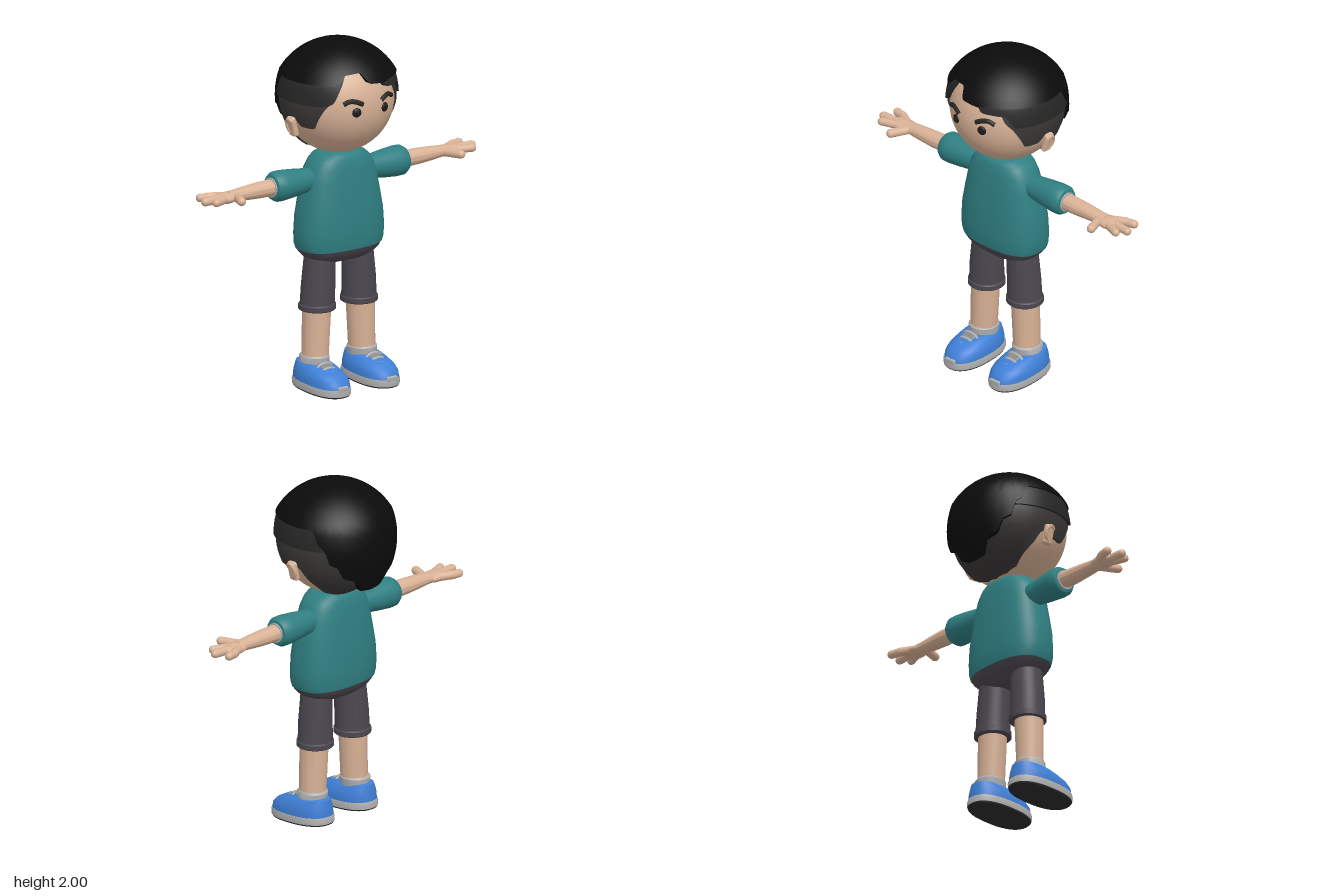
import * as THREE from 'three';
import { toCreasedNormals } from 'three/addons/utils/BufferGeometryUtils.js';
import { RoundedBoxGeometry } from 'three/addons/geometries/RoundedBoxGeometry.js';

const SKIN = 0xd9b296, TEAL = 0x2f7f82, PANTS = 0x4b474f, BLUE = 0x3f7fd6, GREY = 0xb0b0b0,
  BLACK = 0x0b0b0b, DARK = 0x272727, FADE = 0x3a3736, SOLE = 0x2b2a2d;

function add(parent, name, geometry, color, side = THREE.FrontSide) {
  const mesh = new THREE.Mesh(geometry, new THREE.MeshStandardMaterial({ color, side }));
  mesh.name = name;
  parent.add(mesh);
  return mesh;
}

// Closed-around grid: point(angle, row) with angle 0 at the front, rows running upward
function surface(point, cols, rows, crease = 0.7) {
  const pos = [], idx = [];
  for (let j = 0; j < rows; j++)
    for (let i = 0; i <= cols; i++) pos.push(...point((i / cols) * 2 * Math.PI - Math.PI, j));
  for (let j = 0; j < rows - 1; j++)
    for (let i = 0; i < cols; i++) {
      const a = j * (cols + 1) + i, d = a + cols + 1;
      idx.push(a, a + 1, d + 1, a, d + 1, d);
    }
  const g = new THREE.BufferGeometry();
  g.setAttribute('position', new THREE.Float32BufferAttribute(pos, 3));
  g.setIndex(idx);
  return toCreasedNormals(g, crease);
}

// Sections [y, rx, rz, cz, cx] joined upward and closed at both ends; power > 2 squares the outline
function loft(sections, power = 2, cols = 40) {
  const first = sections[0], last = sections[sections.length - 1];
  const rows = [[first[0], 0, 0, first[3], first[4]], ...sections, [last[0], 0, 0, last[3], last[4]]];
  const bend = v => Math.sign(v) * Math.abs(v) ** (2 / power);
  return surface((a, j) => {
    const [y, rx, rz, cz = 0, cx = 0] = rows[j];
    return [cx + rx * bend(Math.sin(a)), y, cz + rz * bend(Math.cos(a))];
  }, cols, rows.length);
}

// Rounded rod between two points
function capsule(parent, name, from, to, r, color) {
  const a = new THREE.Vector3(...from), b = new THREE.Vector3(...to), dir = b.clone().sub(a);
  const m = add(parent, name, new THREE.CapsuleGeometry(r, dir.length(), 8, 16), color);
  m.position.copy(a).add(b).multiplyScalar(0.5);
  m.quaternion.setFromUnitVectors(new THREE.Vector3(0, 1, 0), dir.normalize());
  return m;
}

function tube(points, r) {
  return new THREE.TubeGeometry(new THREE.CatmullRomCurve3(points.map(p => new THREE.Vector3(...p))), 16, r, 8);
}

// Piecewise-linear lookup in [x, y] pairs
function lookup(pairs, x) {
  if (x <= pairs[0][0]) return pairs[0][1];
  for (let i = 1; i < pairs.length; i++)
    if (x <= pairs[i][0]) {
      const [x0, y0] = pairs[i - 1], [x1, y1] = pairs[i];
      return y0 + (y1 - y0) * (x - x0) / (x1 - x0);
    }
  return pairs[pairs.length - 1][1];
}

// Hair shell: radius by height, lower edge by angle, with a lip turned in to the head
function hairShell(radius, top, edge) {
  const rows = 18;
  return surface((a, j) => {
    const low = edge(a), t = Math.max(0, j - 1) / (rows - 2);
    const y = top - (top - low) * (1 - t) ** 2;
    const r = radius(y) * (j === 0 ? 0.88 : 1);
    return [r * Math.sin(a), y, r * Math.cos(a)];
  }, 144, rows, 0.8);
}

function buildHead(group) {
  const head = add(group, 'head', new THREE.SphereGeometry(0.318, 48, 32), SKIN);
  head.position.y = 1.666;

  // Hair in three overlapping layers
  const capR = y => y > 1.81 ? Math.sqrt(Math.max(0, 0.38 ** 2 - (y - 1.62) ** 2)) : 0.35 - 1.1 * (y - 1.67) ** 2;
  const nape = [[1.98, 1.81], [2.08, 1.73], [2.2, 1.7], [2.27, 1.62], [2.4, 1.6], [2.5, 1.53],
    [2.75, 1.5], [2.85, 1.43], [3.15, 1.42]];
  const fringe = [[-0.68, 1.81], [-0.58, 1.86], [-0.2, 1.87], [-0.08, 1.81], [0.25, 1.8], [0.4, 1.81]];
  add(group, 'topHair', hairShell(capR, 2, a => Math.abs(a) > 1.9 ? lookup(nape, Math.abs(a)) : lookup(fringe, a)),
    BLACK, THREE.DoubleSide);

  const band = [[-0.9, 1.69], [-0.72, 1.71], [-0.62, 1.78], [-0.5, 1.87], [0.16, 1.87], [0.22, 1.81],
    [0.32, 1.77], [0.75, 1.76], [0.9, 1.69]];
  add(group, 'sideHair', hairShell(y => capR(y) - 0.008, 1.985, a => lookup(band, a)), DARK, THREE.DoubleSide);

  const fade = [[0.55, 1.87], [0.72, 1.72], [0.88, 1.67], [1.0, 1.61], [1.1, 1.545], [1.38, 1.55],
    [1.5, 1.6], [1.7, 1.55], [1.8, 1.49], [1.95, 1.44], [2.05, 1.39], [2.4, 1.365], [3.15, 1.355]];
  add(group, 'fadedHair', hairShell(y => Math.sqrt(Math.max(0, 0.329 ** 2 - (y - 1.666) ** 2)), 1.96,
    a => lookup(fade, Math.abs(a))), FADE, THREE.DoubleSide);

  // Eyes, brows and ears
  for (const s of [-1, 1]) {
    const eye = add(group, 'eye', new THREE.SphereGeometry(0.027, 20, 14), 0x1c1c1e);
    eye.position.set(s * 0.098, 1.65, 0.302);
    eye.rotation.y = s * 0.31;
    eye.scale.z = 0.45;
    add(group, 'eyebrow', tube([[s * 0.062, 1.694, 0.312], [s * 0.1, 1.712, 0.3], [s * 0.135, 1.716, 0.286],
      [s * 0.168, 1.7, 0.27]], 0.014), DARK);
    const ear = new THREE.Group();
    ear.name = 'ear';
    ear.position.set(s * 0.32, 1.543, 0.005);
    ear.rotation.z = -s * 0.25;
    add(ear, 'earLobe', new RoundedBoxGeometry(0.035, 0.12, 0.062, 4, 0.017), SKIN);
    add(ear, 'earRim', tube([[s * 0.006, -0.045, 0.01], [s * 0.014, -0.02, -0.022], [s * 0.016, 0.03, -0.024],
      [s * 0.016, 0.052, 0.002], [s * 0.012, 0.035, 0.024]], 0.01), SKIN);
    group.add(ear);
  }
}

function buildArm(group, s) {
  const along = (name, sections, color) => {
    const m = add(group, name, loft(sections).rotateZ(-s * Math.PI / 2), color);
    m.position.y = 1.213;
  };
  along('sleeve', [[0.15, 0.065, 0.065], [0.24, 0.07, 0.068], [0.32, 0.08, 0.078], [0.4, 0.087, 0.086],
    [0.44, 0.086, 0.085], [0.462, 0.072, 0.072], [0.466, 0.058, 0.058]], TEAL);
  along('sleeveCuff', [[0.45, 0.056, 0.056], [0.474, 0.056, 0.056]], GREY);
  along('forearm', [[0.44, 0.048, 0.05], [0.55, 0.046, 0.05], [0.65, 0.04, 0.045], [0.72, 0.033, 0.042],
    [0.77, 0.03, 0.046]], SKIN);
  const palm = add(group, 'palm', new THREE.SphereGeometry(1, 24, 16), SKIN);
  palm.scale.set(0.085, 0.031, 0.058);
  palm.position.set(s * 0.79, 1.21, 0);
  // Thumb and three fingers, from root to tip in x and z
  const digits = [[0.73, 0.02, 0.772, 0.125, 0.025], [0.8, 0.025, 0.9, 0.062, 0.023],
    [0.81, 0, 0.937, 0.008, 0.024], [0.79, -0.03, 0.86, -0.065, 0.025], [0.86, -0.065, 0.91, -0.075, 0.024]];
  for (const [x0, z0, x1, z1, r] of digits)
    capsule(group, 'finger', [s * x0, 1.212, z0], [s * x1, 1.214, z1], r, SKIN);
}

function buildLeg(group, s) {
  const limb = (name, sections, color, power) =>
    add(group, name, loft(sections.map(([y, rx, rz, cz, cx]) => [y, rx, rz, cz, s * cx]), power), color);
  limb('trouserLeg', [[0.46, 0.1, 0.098, 0.005, 0.147], [0.6, 0.096, 0.096, 0.008, 0.143],
    [0.8, 0.086, 0.09, 0.01, 0.13]], PANTS);
  limb('trouserCuff', [[0.455, 0.1, 0.1, 0.005, 0.147], [0.46, 0.106, 0.105, 0.005, 0.147],
    [0.486, 0.106, 0.105, 0.005, 0.147], [0.492, 0.099, 0.098, 0.005, 0.147]], PANTS);
  limb('shin', [[0.16, 0.075, 0.077, 0.008, 0.165], [0.3, 0.078, 0.079, 0.008, 0.16],
    [0.5, 0.083, 0.081, 0.008, 0.152]], SKIN);
  limb('sock', [[0.12, 0.078, 0.085, 0.005, 0.168], [0.19, 0.084, 0.089, 0.005, 0.167],
    [0.2, 0.077, 0.081, 0.005, 0.167]], GREY);

  // Shoe, tilted slightly down toward the toe
  const shoe = new THREE.Group();
  shoe.name = 'shoe';
  shoe.position.set(s * 0.172, 0.012, 0.075);
  shoe.rotation.x = 0.05;
  const part = (name, sections, color) => add(shoe, name, loft(sections, 2.4), color);
  part('outsole', [[-0.002, 0.112, 0.2], [0.008, 0.115, 0.204]], SOLE);
  part('midsole', [[0.006, 0.116, 0.205], [0.03, 0.118, 0.207], [0.046, 0.115, 0.203]], GREY);
  part('upper', [[0.044, 0.113, 0.2], [0.075, 0.112, 0.195, -0.004], [0.1, 0.105, 0.18, -0.016],
    [0.122, 0.092, 0.155, -0.038], [0.138, 0.082, 0.127, -0.063], [0.144, 0.07, 0.108, -0.07]], BLUE);
  const toe = add(shoe, 'toeCap', new RoundedBoxGeometry(0.07, 0.03, 0.03, 3, 0.008), GREY);
  toe.position.set(0, 0.05, 0.19);
  const tongue = add(shoe, 'tongue', new RoundedBoxGeometry(0.08, 0.03, 0.12, 3, 0.012), 0x8a8a88);
  tongue.position.set(0, 0.124, 0.06);
  tongue.rotation.x = 0.42;
  for (let i = 0; i < 3; i++) {
    const y = 0.154 - i * 0.018, z = 0.025 + i * 0.038;
    add(shoe, 'lace', tube([[-0.06, y - 0.028, z], [-0.03, y - 0.004, z], [0.03, y - 0.004, z], [0.06, y - 0.028, z]],
      0.009), GREY);
  }
  group.add(shoe);
}

export function createModel() {
  const group = new THREE.Group();
  group.name = 'boy';
  buildHead(group);

  // Shirt and hips
  add(group, 'shirt', loft([[0.81, 0.262, 0.156, 0.01], [0.84, 0.272, 0.161, 0.01], [0.9, 0.275, 0.163, 0.01],
    [1.0, 0.268, 0.161, 0.01], [1.1, 0.25, 0.152, 0.01], [1.2, 0.23, 0.142, 0.01], [1.27, 0.212, 0.132, 0.01],
    [1.32, 0.18, 0.122, 0.01], [1.345, 0.15, 0.112, 0.01], [1.36, 0.115, 0.09, 0.01]], 2.6, 56), TEAL);
  add(group, 'hips', loft([[0.728, 0.11, 0.07, 0.01], [0.738, 0.17, 0.1, 0.01], [0.765, 0.222, 0.13, 0.01],
    [0.79, 0.247, 0.147, 0.01], [0.822, 0.264, 0.158, 0.01]], 2.6, 56), PANTS);

  for (const s of [-1, 1]) {
    const arm = new THREE.Group(), leg = new THREE.Group();
    arm.name = s > 0 ? 'leftArm' : 'rightArm';
    leg.name = s > 0 ? 'leftLeg' : 'rightLeg';
    buildArm(arm, s);
    buildLeg(leg, s);
    group.add(arm, leg);
  }
  return group;
}
